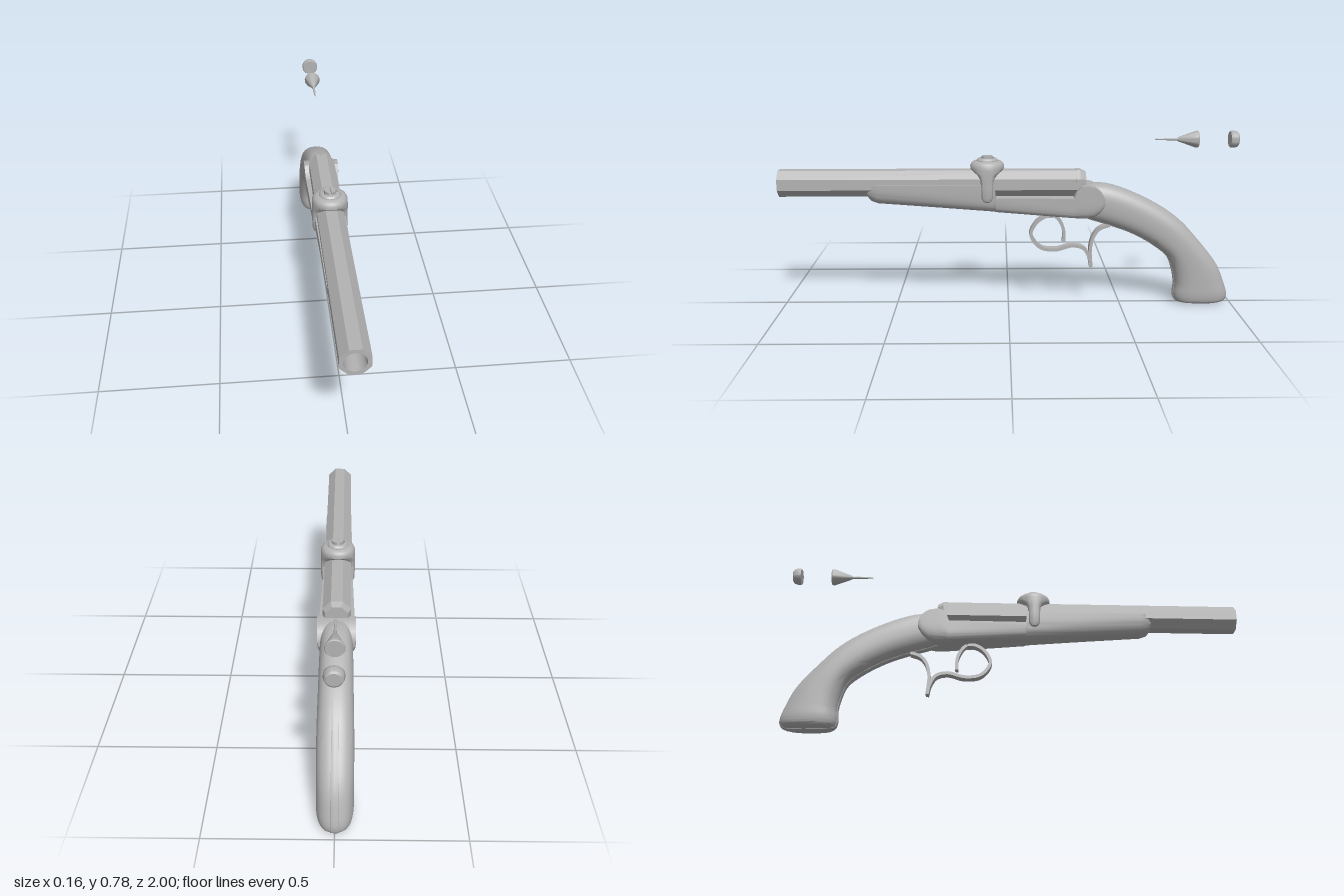
import * as THREE from 'three';
import { toCreasedNormals } from 'three/addons/utils/BufferGeometryUtils.js';

const steel = new THREE.MeshStandardMaterial({ color: 0xb2b2b2 });
steel.name = 'plain grey';

const V = (x, y, z) => new THREE.Vector3(x, y, z);
const spow = (v, e) => Math.sign(v) * Math.pow(Math.abs(v), e);

// Closed skin over a row of rings, capped at both ends and turned outwards
function loft(rings, crease = 0.6) {
  const tris = [];
  const n = rings[0].length;
  for (let i = 0; i < rings.length - 1; i++) {
    for (let j = 0; j < n; j++) {
      const k = (j + 1) % n;
      const a = rings[i][j], b = rings[i][k], c = rings[i + 1][k], d = rings[i + 1][j];
      tris.push([a, b, c], [a, c, d]);
    }
  }
  const cap = (ring, flip) => {
    const mid = ring.reduce((s, p) => s.add(p), V(0, 0, 0)).divideScalar(n);
    ring.forEach((p, j) => {
      const q = ring[(j + 1) % n];
      tris.push(flip ? [mid, q, p] : [mid, p, q]);
    });
  };
  cap(rings[0], true);
  cap(rings[rings.length - 1], false);
  let volume = 0;
  for (const [a, b, c] of tris) volume += a.dot(V(0, 0, 0).crossVectors(b, c));
  const pos = [];
  for (const [a, b, c] of tris) {
    for (const p of volume > 0 ? [a, b, c] : [a, c, b]) pos.push(p.x, p.y, p.z);
  }
  const geo = new THREE.BufferGeometry();
  geo.setAttribute('position', new THREE.Float32BufferAttribute(pos, 3));
  geo.computeVertexNormals();
  return toCreasedNormals(geo, crease);
}

// Regular octagon with flats at top and sides
function octagon(apothem) {
  const r = apothem / Math.cos(Math.PI / 8);
  return Array.from({ length: 8 }, (_, i) => {
    const a = (i + 0.5) * Math.PI / 4;
    return new THREE.Vector2(r * Math.cos(a), r * Math.sin(a));
  });
}

// Flat ribbon swept along a path given as [z, y] points
function ribbon(points, halfWidth, halfThick, samples) {
  const curve = new THREE.CatmullRomCurve3(points.map(([z, y]) => V(0, y, z)));
  const rings = [];
  for (let i = 0; i <= samples; i++) {
    const p = curve.getPoint(i / samples);
    const t = curve.getTangent(i / samples);
    const s = V(0, t.z, -t.y).multiplyScalar(halfThick);
    rings.push([[-1, -1], [1, -1], [1, 1], [-1, 1]].map(([x, k]) =>
      V(x * halfWidth, p.y + k * s.y, p.z + k * s.z)));
  }
  return loft(rings, 0.7);
}

// Turned part from [radius, height] points
function turned(points, segments = 32) {
  const geo = new THREE.LatheGeometry(points.map(([r, h]) => new THREE.Vector2(r, h)), segments);
  return toCreasedNormals(geo, 0.6);
}

export function createModel() {
  const group = new THREE.Group();
  const add = (name, geo) => {
    const mesh = new THREE.Mesh(geo, steel);
    mesh.name = name;
    group.add(mesh);
    return mesh;
  };

  // Octagonal barrel with a round bore
  const barrelShape = new THREE.Shape(octagon(0.057));
  barrelShape.holes.push(new THREE.Path().absarc(0, 0, 0.042, 0, Math.PI * 2, true));
  const barrel = add('barrel', toCreasedNormals(
    new THREE.ExtrudeGeometry(barrelShape, { depth: 1.3, bevelEnabled: false, curveSegments: 16 }), 0.6));
  barrel.position.set(0, 0.554, -0.3);

  // Chamfered breech closing the rear of the barrel
  add('breech', loft([[-0.295, 0.058], [-0.312, 0.058], [-0.338, 0.046]].map(([z, r]) =>
    octagon(r).map(p => V(p.x, p.y + 0.554, z))), 0.3));

  // Stock: z, half width, top, bottom, squareness of the underside
  const stations = [
    [0.615, 0.045, 0.535, 0.495, 2.5], [0.6, 0.056, 0.55, 0.475, 2.5], [0.57, 0.06, 0.552, 0.464, 2.6],
    [0.3, 0.062, 0.552, 0.445, 3.2], [0.06, 0.066, 0.552, 0.428, 4], [0.055, 0.066, 0.497, 0.427, 4],
    [-0.285, 0.074, 0.495, 0.402, 6], [-0.298, 0.077, 0.53, 0.401, 6], [-0.32, 0.078, 0.549, 0.4, 6],
    [-0.345, 0.078, 0.55, 0.4, 6], [-0.375, 0.078, 0.544, 0.406, 6], [-0.4, 0.078, 0.526, 0.424, 6],
    [-0.415, 0.077, 0.502, 0.448, 6], [-0.42, 0.076, 0.485, 0.465, 6],
  ];
  add('stock', loft(stations.map(([z, w, top, low, n]) =>
    Array.from({ length: 25 }, (_, i) => {
      const a = i / 24 * Math.PI;
      return V(w * spow(Math.cos(a), 2 / n), top - (top - low) * spow(Math.sin(a), 2 / n), z);
    }))));

  // Curved grip: back z, y, front z, y, half width
  const grip = [
    [-0.3, 0.54, -0.3, 0.415, 0.062], [-0.4, 0.553, -0.36, 0.39, 0.065], [-0.5, 0.53, -0.45, 0.362, 0.067],
    [-0.66, 0.455, -0.555, 0.322, 0.069], [-0.76, 0.385, -0.65, 0.267, 0.071], [-0.84, 0.3, -0.71, 0.215, 0.072],
    [-0.93, 0.187, -0.735, 0.15, 0.072], [-0.965, 0.11, -0.745, 0.09, 0.072], [-0.985, 0.045, -0.742, 0.04, 0.071],
    [-0.98, 0.018, -0.752, 0.014, 0.064], [-0.955, 0.005, -0.78, 0.005, 0.045],
  ];
  const backCurve = new THREE.CatmullRomCurve3(grip.map(g => V(g[4], g[1], g[0])));
  const frontCurve = new THREE.CatmullRomCurve3(grip.map(g => V(g[4], g[3], g[2])));
  const gripLoft = (scale, n, width) => loft(Array.from({ length: 51 }, (_, i) => {
    const b = backCurve.getPoint(i / 50), f = frontCurve.getPoint(i / 50);
    const w = width || b.x;
    return Array.from({ length: 36 }, (_, j) => {
      const a = j / 36 * Math.PI * 2;
      const u = 0.5 + 0.5 * scale * spow(Math.cos(a), 2 / n);
      return V(w * spow(Math.sin(a), 2 / n), f.y + (b.y - f.y) * u, f.z + (b.z - f.z) * u);
    });
  }), 0.7);
  add('grip', gripLoft(0.985, 2.6));
  add('gripStrap', gripLoft(1, 10, 0.019)).position.y = -0.002;

  // Trigger guard, its rear strut and the trigger
  add('triggerGuard', ribbon([[-0.2, 0.405], [-0.165, 0.402], [-0.125, 0.375], [-0.1, 0.32], [-0.14, 0.262],
    [-0.21, 0.25], [-0.285, 0.268], [-0.335, 0.255], [-0.36, 0.215], [-0.37, 0.168]], 0.019, 0.007, 60));
  add('guardStrut', ribbon([[-0.37, 0.17], [-0.365, 0.25], [-0.378, 0.31], [-0.405, 0.345], [-0.45, 0.362]],
    0.019, 0.007, 30));
  add('trigger', ribbon([[-0.2, 0.41], [-0.225, 0.385], [-0.245, 0.34], [-0.246, 0.285]], 0.014, 0.007, 16));

  // Collar wrapping the barrel: height, half width, half length, squareness
  const collar = [
    [0.474, 0.06, 0.01, 4], [0.481, 0.07, 0.022, 4], [0.495, 0.074, 0.028, 5], [0.54, 0.075, 0.028, 5],
    [0.575, 0.075, 0.032, 4], [0.595, 0.075, 0.046, 3], [0.61, 0.075, 0.066, 2.3], [0.618, 0.075, 0.074, 2],
    [0.632, 0.074, 0.074, 2], [0.642, 0.069, 0.069, 2], [0.649, 0.06, 0.06, 2], [0.652, 0.047, 0.047, 2],
  ];
  add('collar', loft(collar.map(([y, wx, wz, n]) => Array.from({ length: 40 }, (_, j) => {
    const a = j / 40 * Math.PI * 2;
    return V(wx * spow(Math.cos(a), 2 / n), y, 0.092 + wz * spow(Math.sin(a), 2 / n));
  }))));

  // Cap ring and slotted screw on the collar
  add('capRing', turned([[0, 0.645], [0.046, 0.645], [0.046, 0.655], [0.04, 0.662], [0.031, 0.664],
    [0.03, 0.657], [0, 0.657]])).position.z = 0.092;
  for (const side of [0, 1]) {
    const half = new THREE.Shape().absarc(0, 0, 0.024, -Math.PI / 2 + 0.2, Math.PI / 2 - 0.2);
    const geo = new THREE.ExtrudeGeometry(half, { depth: 0.018, bevelEnabled: false, curveSegments: 16 });
    geo.rotateX(-Math.PI / 2).rotateY(side * Math.PI);
    add('screwHalf', toCreasedNormals(geo, 0.6)).position.set(0, 0.654, 0.092);
  }

  // Loose dart with a needle tip, and a loose cap behind it
  const dart = add('dart', turned([[0, -0.825], [0.034, -0.825], [0.037, -0.82], [0.036, -0.812],
    [0.011, -0.742], [0.006, -0.732], [0.003, -0.64], [0, -0.64]]));
  const cap = add('looseCap', turned([[0, -1], [0.026, -1], [0.033, -0.995], [0.037, -0.982],
    [0.037, -0.968], [0.034, -0.963], [0, -0.963]]));
  for (const part of [dart, cap]) {
    part.rotation.x = Math.PI / 2;
    part.position.y = 0.743;
  }
  return group;
}
